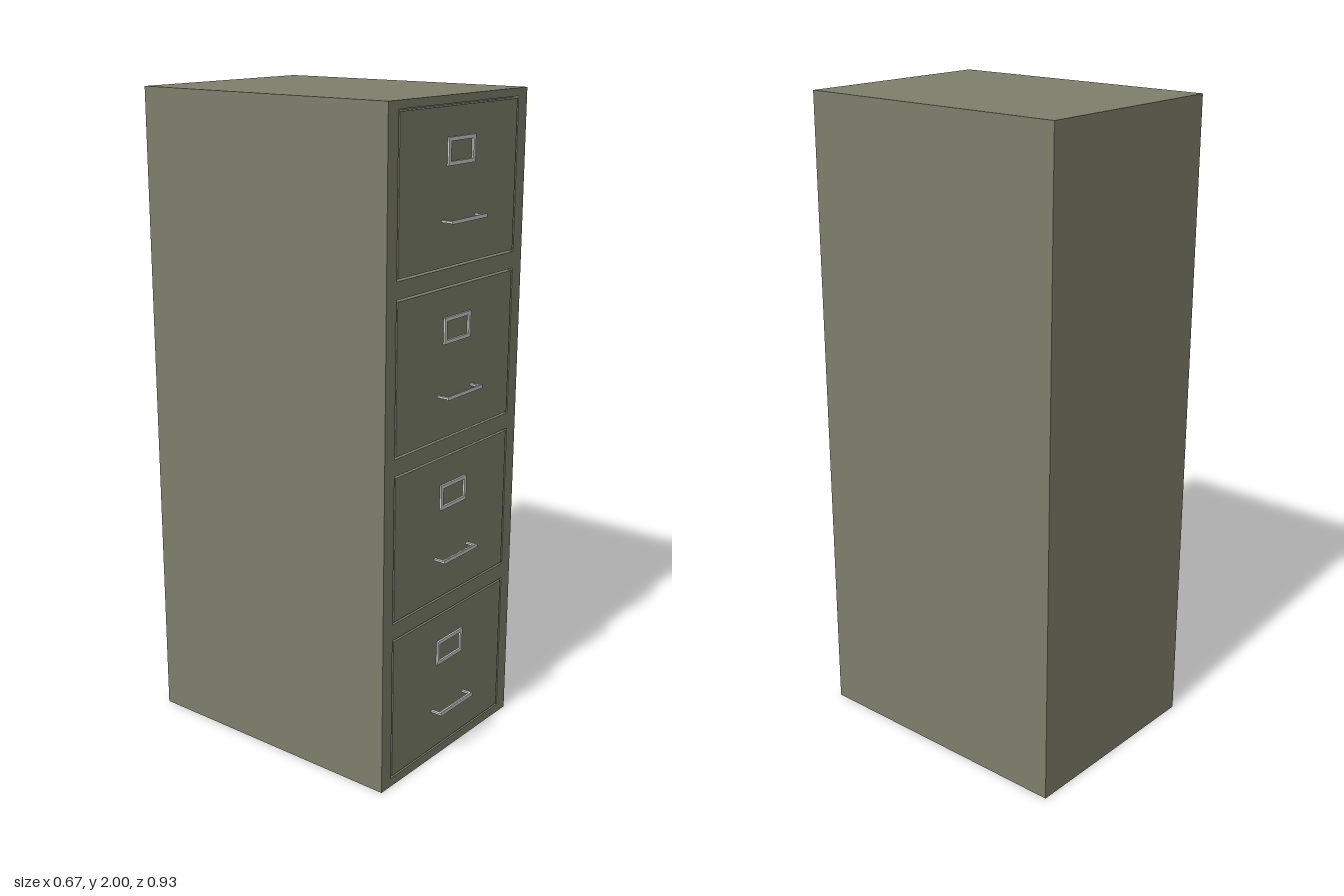
import * as THREE from 'three';

const W = 0.668, H = 2, BACK = -0.463, FRONT = 0.425, RECESS = 0.02;
const OPEN_W = 0.578, OPEN_H = 0.45, GAP = 0.006, DRAWERS = 4, PITCH = 0.5;

const paint = new THREE.MeshStandardMaterial({ color: 0x7d7e6b });
const metal = new THREE.MeshStandardMaterial({ color: 0xcccccc });

function box(name, w, h, d, x, y, z, material) {
  const mesh = new THREE.Mesh(new THREE.BoxGeometry(w, h, d), material);
  mesh.name = name;
  mesh.position.set(x, y, z);
  return mesh;
}

// Flat rectangle outline, used for shapes and holes
function rect(Type, w, h, cy = 0) {
  const p = new Type();
  p.moveTo(-w / 2, cy - h / 2);
  p.lineTo(w / 2, cy - h / 2);
  p.lineTo(w / 2, cy + h / 2);
  p.lineTo(-w / 2, cy + h / 2);
  p.closePath();
  return p;
}

function plate(name, shape, depth, y, z, material) {
  const mesh = new THREE.Mesh(new THREE.ExtrudeGeometry(shape, { depth, bevelEnabled: false }), material);
  mesh.name = name;
  mesh.position.set(0, y, z);
  return mesh;
}

// Pull handle: two posts, a bar and a slightly taller front lip
function createHandle() {
  const handle = new THREE.Group();
  handle.name = 'handle';
  for (const s of [-1, 1]) {
    handle.add(box('handlePost', 0.009, 0.006, 0.026, s * 0.0825, 0, 0.013, metal));
  }
  handle.add(box('handleBar', 0.174, 0.006, 0.008, 0, 0, 0.03, metal));
  handle.add(box('handleLip', 0.174, 0.011, 0.004, 0, 0, 0.035, metal));
  return handle;
}

// Drawer front with its label holder and handle; origin at its centre on the front plane
function createDrawer() {
  const drawer = new THREE.Group();
  drawer.name = 'drawer';
  drawer.add(box('drawerFront', OPEN_W - 2 * GAP, OPEN_H - 2 * GAP, RECESS, 0, 0, -RECESS / 2, paint));

  const frame = rect(THREE.Shape, 0.13, 0.077);
  frame.holes.push(rect(THREE.Path, 0.108, 0.055));
  drawer.add(plate('labelFrame', frame, 0.006, 0.098, 0, metal));

  const handle = createHandle();
  handle.position.y = -0.089;
  drawer.add(handle);
  return drawer;
}

export function createModel() {
  const cabinet = new THREE.Group();
  cabinet.name = 'filingCabinet';

  // Case body, its front face forming the floor of the drawer gaps
  const caseDepth = FRONT - RECESS - BACK;
  cabinet.add(box('case', W, H, caseDepth, 0, H / 2, BACK + caseDepth / 2, paint));

  // Front surround with one opening per drawer
  const surround = rect(THREE.Shape, W, H, H / 2);
  for (let i = 0; i < DRAWERS; i++) {
    const y = 0.252 + i * PITCH;
    surround.holes.push(rect(THREE.Path, OPEN_W, OPEN_H, y));
    const drawer = createDrawer();
    drawer.name = `drawer${i + 1}`;
    drawer.position.set(0, y, FRONT);
    cabinet.add(drawer);
  }
  cabinet.add(plate('frontSurround', surround, RECESS, 0, FRONT - RECESS, paint));

  return cabinet;
}
